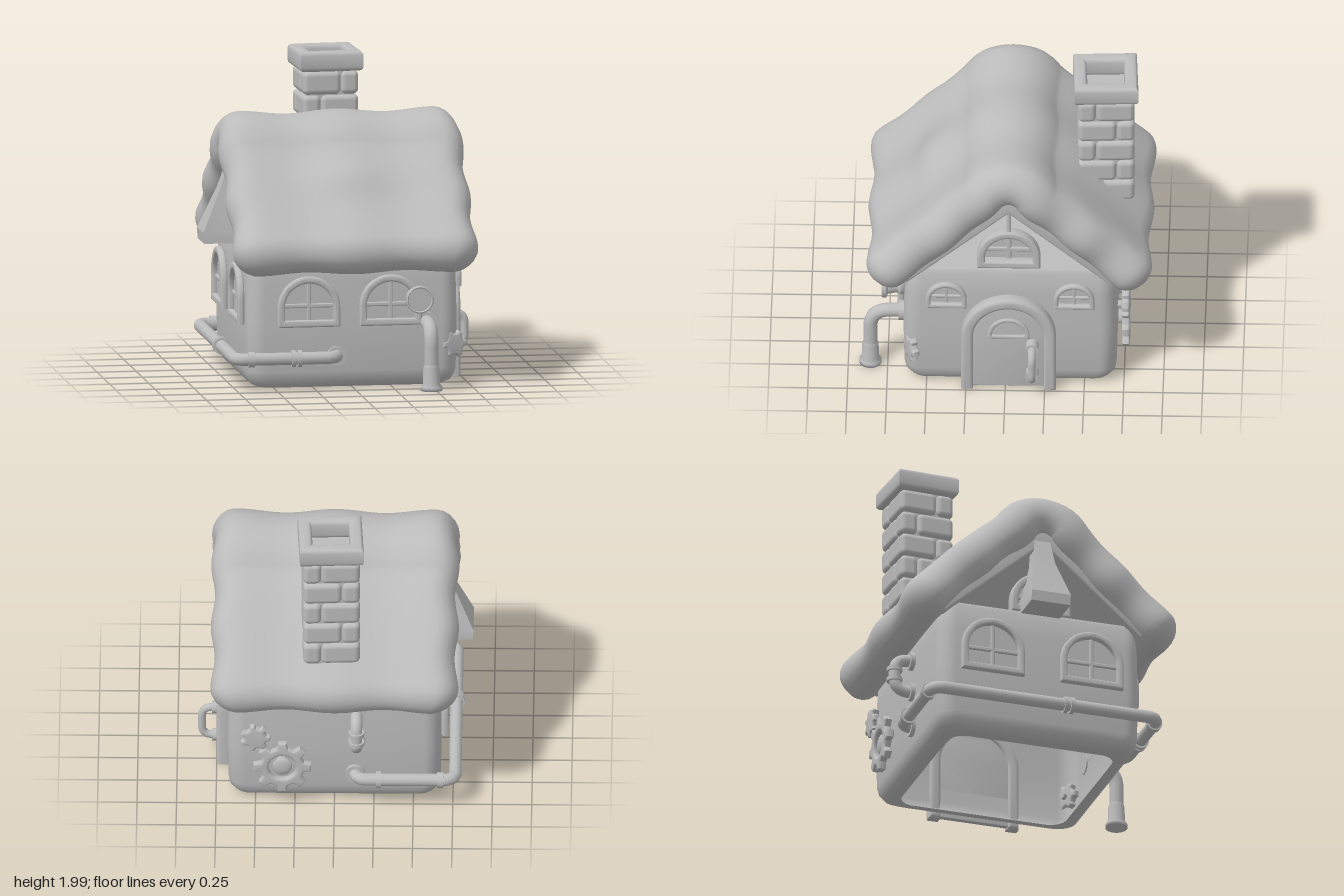
import * as THREE from 'three';
import { mergeVertices, toCreasedNormals } from 'three/addons/utils/BufferGeometryUtils.js';
import { RoundedBoxGeometry } from 'three/addons/geometries/RoundedBoxGeometry.js';

const clay = new THREE.MeshStandardMaterial({ color: 0xbcbcbc, side: THREE.DoubleSide });
clay.name = 'clay grey';
const V = (x, y, z) => new THREE.Vector3(x, y, z);

function add(parent, name, geo, x = 0, y = 0, z = 0) {
  const m = new THREE.Mesh(geo, clay);
  m.name = name;
  m.position.set(x, y, z);
  parent.add(m);
  return m;
}
const box = (w, h, d, r = 0.012) => new RoundedBoxGeometry(w, h, d, 3, r);

// Skin over closed rings of equal point count
function loft(rows) {
  const n = rows[0].length, pos = [], idx = [];
  rows.forEach(r => r.forEach(p => pos.push(p.x, p.y, p.z)));
  for (let i = 0; i < rows.length - 1; i++) for (let j = 0; j < n; j++) {
    const a = i * n + j, b = i * n + (j + 1) % n;
    idx.push(a, a + n, b, b, a + n, b + n);
  }
  const g = new THREE.BufferGeometry();
  g.setAttribute('position', new THREE.Float32BufferAttribute(pos, 3));
  g.setIndex(idx);
  g.computeVertexNormals();
  return g;
}

// Extrusion with a rounded rim, from z = 0 to z = depth
function extrude(shape, depth, bevel = 0.015) {
  const g = new THREE.ExtrudeGeometry(shape, { depth: depth - 2 * bevel, bevelSize: bevel, bevelThickness: bevel,
    bevelOffset: -bevel, bevelSegments: 3, curveSegments: 20, bevelEnabled: bevel > 0 });
  return toCreasedNormals(g.translate(0, 0, bevel), 0.7);
}

// Arch outline standing on y = y0, with a round top
function arch(w, h, y0 = 0, Type = THREE.Shape) {
  const s = new Type(), r = w / 2;
  s.moveTo(-r, y0);
  s.lineTo(r, y0);
  s.lineTo(r, h - r);
  s.absarc(0, h - r, r, 0, Math.PI, false);
  s.closePath();
  return s;
}

// Open arch band with two legs
function archBand(w, h, y0, t) {
  const s = new THREE.Shape(), r = w / 2;
  s.moveTo(r - t, y0);
  s.lineTo(r, y0);
  s.lineTo(r, h - r);
  s.absarc(0, h - r, r, 0, Math.PI, false);
  s.lineTo(-r, y0);
  s.lineTo(t - r, y0);
  s.lineTo(t - r, h - r);
  s.absarc(0, h - r, r - t, Math.PI, 0, true);
  s.closePath();
  return s;
}

function archWindow(parent, name, x, y, z, w, h, t = 0.045, depth = 0.045) {
  const g = new THREE.Group();
  g.name = name;
  g.position.set(x, y, z);
  const frame = arch(w, h);
  frame.holes.push(arch(w - 2 * t, h - t, t, THREE.Path));
  add(g, 'windowFrame', extrude(frame, depth, 0.014));
  add(g, 'windowPane', extrude(arch(w - t, h - t / 2, t / 2), 0.006, 0), 0, 0, 0.003);
  add(g, 'verticalBar', box(t * 0.6, h - t, 0.02, 0.008), 0, h / 2, 0.013);
  add(g, 'crossBar', box(w - t, t * 0.6, 0.02, 0.008), 0, h * 0.42, 0.013);
  parent.add(g);
}

// Pipe through corner points with rounded elbows
function pipe(parent, name, pts, r, bend = 0.1) {
  const path = new THREE.CurvePath();
  let last = pts[0];
  for (let i = 1; i < pts.length - 1; i++) {
    const a = pts[i].clone().add(pts[i - 1].clone().sub(pts[i]).setLength(bend));
    const b = pts[i].clone().add(pts[i + 1].clone().sub(pts[i]).setLength(bend));
    path.add(new THREE.LineCurve3(last, a));
    path.add(new THREE.QuadraticBezierCurve3(a, pts[i], b));
    last = b;
  }
  path.add(new THREE.LineCurve3(last, pts[pts.length - 1]));
  add(parent, name, new THREE.TubeGeometry(path, 90, r, 14));
}
function collar(parent, p, dir, r, len = 0.03) {
  const m = add(parent, 'pipeCollar', new THREE.CylinderGeometry(r, r, len, 20), p.x, p.y, p.z);
  m.quaternion.setFromUnitVectors(V(0, 1, 0), dir);
}

function gear(parent, name, x, y, z, r, teeth, hole) {
  const pts = [];
  for (let i = 0; i < teeth; i++) [[-0.32, 0.76], [-0.18, 1], [0.18, 1], [0.32, 0.76]].forEach(([o, k]) => {
    const a = (i + o) / teeth * Math.PI * 2;
    pts.push(new THREE.Vector2(Math.cos(a) * r * k, Math.sin(a) * r * k));
  });
  const s = new THREE.Shape(pts);
  if (hole) s.holes.push(new THREE.Path().absarc(0, 0, r * 0.48, 0, Math.PI * 2, true));
  const g = new THREE.Group();
  g.name = name;
  g.position.set(x, y, z);
  add(g, 'gearWheel', extrude(s, 0.05, 0.013), 0, 0, 0.025);
  const hub = add(g, 'gearHub', new THREE.SphereGeometry(r * 0.34, 20, 12), 0, 0, 0.05);
  hub.scale.z = 0.09 / (r + 0.1);
  add(g, 'gearAxle', new THREE.CylinderGeometry(r * 0.25, r * 0.25, 0.06, 16).rotateX(Math.PI / 2), 0, 0, 0.03);
  parent.add(g);
  return g;
}

function roofGeometry() {
  const path = new THREE.CatmullRomCurve3([[0.9, 0.73], [1.12, 0.488], [1.31, 0.29], [1.415, 0.18], [1.51, 0.095], [1.545, -0.02],
    [1.51, -0.135], [1.415, -0.22], [1.31, -0.35], [1.13, -0.545], [0.9, -0.775]].map(([y, z]) => V(0, y, z)));
  const T = 0.138, stations = [], caps = [1, 0.97, 0.88, 0.72, 0.5, 0.25];
  caps.forEach(e => stations.push([0, -e]));
  for (let i = 0; i <= 64; i++) stations.push([i / 64, 0]);
  caps.slice().reverse().forEach(e => stations.push([1, e]));
  return loft(stations.map(([t, e]) => {
    const c = path.getPointAt(t), d = path.getTangentAt(t), n = V(0, -d.z, d.y);
    const k = Math.sqrt(1 - e * e), end = Math.sign(t - 0.5) * Math.pow(Math.abs(2 * t - 1), 6);
    const core = 0.635 + 0.013 * Math.cos(t * Math.PI * 10) - 0.06 * (1 - k), ring = [];
    const put = (x, h) => {
      const wave = h > 0 ? 0.012 * Math.cos(x * 10) + 0.035 * Math.exp(-x * x * 14 - Math.pow((t - 0.24) * 14, 2)) : 0;
      const p = c.clone().addScaledVector(d, e * T + end * 0.012 * Math.cos(x * 10)).addScaledVector(n, h * T * k + wave * k);
      ring.push(p.setX(x));
    };
    for (let j = 0; j < 28; j++) put(core * (j / 14 - 1), 1);
    for (let j = 0; j < 10; j++) put(core + T * k * Math.sin(j * Math.PI / 10), Math.cos(j * Math.PI / 10));
    for (let j = 0; j < 28; j++) put(core * (1 - j / 14), -1);
    for (let j = 0; j < 10; j++) put(-core - T * k * Math.sin(j * Math.PI / 10), -Math.cos(j * Math.PI / 10));
    return ring;
  }));
}

// Rounded square ring for the walls
function wallRing(half, y) {
  const ring = [], r = Math.min(0.11, half), c = half - r;
  [[1, 1], [-1, 1], [-1, -1], [1, -1]].forEach(([sx, sz], q) => {
    for (let i = 0; i <= 8; i++) {
      const a = (q + i / 8) * Math.PI / 2;
      ring.push(V(sx * c + r * Math.cos(a), y, -0.03 + sz * c + r * Math.sin(a)));
    }
  });
  return ring;
}

export function createModel() {
  const house = new THREE.Group();
  house.name = 'house';

  // Hollow walls, open underneath
  const walls = [[0.55, 0.01], [0.6, 0.012], [0.64, 0.035], [0.663, 0.075], [0.672, 0.12], [0.678, 0.4], [0.672, 0.7], [0.662, 0.86], [0.65, 0.885], [0.01, 0.885]];
  add(house, 'walls', toCreasedNormals(mergeVertices(loft(walls.map(([h, y]) => wallRing(h, y)))), 0.8));

  // Puffy roof with a chevron of boards underneath
  add(house, 'roof', roofGeometry());
  const chevron = new THREE.Shape([[0.63, 0.8], [0.71, 0.88], [-0.02, 1.5], [-0.75, 0.88], [-0.67, 0.8], [-0.02, 1.355]]
    .map(([z, y]) => new THREE.Vector2(-z, y)));
  add(house, 'roofBoards', extrude(chevron, 1.4, 0.015).rotateY(Math.PI / 2), -0.7, 0, 0);

  // Wall groups: local x runs along the wall, local z points outward
  const side = (name, angle) => {
    const g = new THREE.Group();
    g.name = name;
    g.position.z = -0.03;
    g.rotation.y = angle;
    house.add(g);
    return g;
  };
  const front = side('frontWall', 0), left = side('doorWall', Math.PI / 2);
  const back = side('backWall', Math.PI), right = side('windowWall', -Math.PI / 2);

  // Windows
  archWindow(front, 'frontWindow', -0.29, 0.41, 0.676, 0.4, 0.325);
  archWindow(front, 'frontWindow', 0.235, 0.41, 0.676, 0.4, 0.325);
  for (const s of [-1, 1]) {
    archWindow(right, 'sideWindow', s * 0.33, 0.41, 0.676, 0.42, 0.37);
    archWindow(left, 'smallWindow', s * 0.405, 0.62, 0.672, 0.26, 0.19, 0.032);
  }
  archWindow(left, 'gableWindow', -0.01, 0.89, 0.58, 0.4, 0.28, 0.05, 0.07);
  archWindow(right, 'gableWindow', 0.01, 0.89, 0.58, 0.4, 0.28, 0.05, 0.07);
  add(left, 'gablePost', box(0.03, 0.28, 0.05), -0.01, 1.25, 0.61);

  // Tapered hood on the far gable
  const hoodRow = (y, x0, x1, w) => [V(x0, y, -0.03 - w), V(x0, y, -0.03 + w), V(x1, y, -0.03 + w), V(x1, y, -0.03 - w)];
  const hood = loft([hoodRow(0.87, -0.75, -0.75, 0), hoodRow(0.87, -0.87, -0.62, 0.13), hoodRow(0.94, -0.875, -0.62, 0.13),
    hoodRow(1.2, -0.76, -0.62, 0.065), hoodRow(1.4, -0.69, -0.62, 0.05)]);
  add(house, 'gableHood', toCreasedNormals(hood, 0.4));

  // Door with frame, half-round light and handle
  add(left, 'doorFrame', extrude(archBand(0.6, 0.71, 0.01, 0.075), 0.09, 0.022), -0.01, 0, 0.66);
  add(left, 'door', extrude(arch(0.47, 0.645, 0.02), 0.036, 0.005), -0.01, 0, 0.674);
  const light = arch(0.27, 0.15, 0);
  light.holes.push(arch(0.21, 0.125, 0.022, THREE.Path));
  add(left, 'doorLight', extrude(light, 0.025, 0.008), -0.01, 0.4, 0.705);
  pipe(left, 'doorHandle', [V(0.14, 0.14, 0.7), V(0.14, 0.14, 0.845), V(0.14, 0.35, 0.845), V(0.14, 0.35, 0.7)], 0.025, 0.07);
  for (const y of [0.14, 0.35]) collar(left, V(0.14, y, 0.745), V(0, 0, 1), 0.04, 0.07);

  // Pipe wrapping round three walls
  pipe(house, 'longPipe', [V(-0.11, 0.22, 0.64), V(-0.11, 0.22, 0.725), V(-0.765, 0.22, 0.725), V(-0.765, 0.22, -0.785),
    V(-0.13, 0.22, -0.785), V(-0.13, 0.22, -0.7)], 0.04, 0.08);
  for (const x of [-0.4, -0.36]) collar(house, V(x, 0.22, 0.725), V(1, 0, 0), 0.054, 0.025);
  for (const z of [0.1, 0.14]) collar(house, V(-0.765, 0.22, z), V(0, 0, 1), 0.054, 0.025);
  for (const z of [0.725, -0.785]) collar(house, V(-0.67, 0.22, z), V(1, 0, 0), 0.05, 0.04);
  collar(house, V(-0.28, 0.22, -0.785), V(1, 0, 0), 0.054, 0.03);
  collar(house, V(-0.11, 0.22, 0.655), V(0, 0, 1), 0.062);
  collar(house, V(-0.13, 0.22, -0.715), V(0, 0, 1), 0.062);

  // Downpipe at the front
  pipe(house, 'downPipe', [V(0.465, 0.425, 0.64), V(0.465, 0.425, 0.86), V(0.465, 0.1, 0.86)], 0.045, 0.13);
  collar(house, V(0.465, 0.425, 0.66), V(0, 0, 1), 0.065, 0.04);
  const foot = [[0, 0.015], [0.07, 0.015], [0.07, 0.04], [0.055, 0.055], [0.052, 0.16], [0.045, 0.18]];
  add(house, 'downPipeFoot', new THREE.LatheGeometry(foot.map(p => new THREE.Vector2(...p)), 24), 0.465, 0, 0.86);

  // Horn by the window
  const horn = [[0.06, 0], [0.07, 0.02], [0.055, 0.04], [0.065, 0.1], [0.088, 0.11], [0.088, 0.135], [0.08, 0.14], [0.074, 0.132], [0, 0.132]];
  add(house, 'horn', toCreasedNormals(new THREE.LatheGeometry(horn.map(p => new THREE.Vector2(...p)), 28), 0.7)
    .rotateX(Math.PI / 2), 0.405, 0.585, 0.65);

  // Gears on the back, valve wheel on the front corner
  gear(back, 'largeGear', -0.33, 0.3, 0.678, 0.185, 8, true);
  gear(back, 'smallGear', -0.5, 0.52, 0.678, 0.095, 7, false);
  const valve = gear(house, 'valveWheel', 0.63, 0.27, 0.55, 0.09, 6, false);
  valve.rotation.y = 0.4;

  // Looped pipe on the back
  pipe(back, 'loopPipe', [V(0.14, 0.46, 0.66), V(0.14, 0.46, 0.8), V(0.14, 0.675, 0.8), V(0.14, 0.675, 0.66)], 0.038, 0.09);
  for (const y of [0.46, 0.675]) collar(back, V(0.14, y, 0.69), V(0, 0, 1), 0.058);
  for (const y of [0.53, 0.6]) collar(back, V(0.14, y, 0.8), V(0, 1, 0), 0.05, 0.025);

  // Brick chimney: four blocks to a course with alternating joints, under a hollow cap
  const chimney = new THREE.Group();
  chimney.name = 'chimney';
  chimney.position.set(0.025, 0, -0.62);
  chimney.rotation.y = 0.05;
  house.add(chimney);
  add(chimney, 'core', new THREE.BoxGeometry(0.31, 0.77, 0.31), 0, 1.485, 0);
  for (let c = 0; c < 5; c++) {
    const cut = c % 2 ? -0.065 : 0.065;
    const spans = [[-0.18, cut], [cut, 0.18]];
    for (const [x0, x1] of spans) for (const [z0, z1] of spans)
      add(chimney, 'brick', box(x1 - x0, 0.15, z1 - z0, 0.034), (x0 + x1) / 2, 1.795 - c * 0.153, (z0 + z1) / 2);
  }
  const square = (h, Type) => new Type([[-h, -h], [h, -h], [h, h], [-h, h]].map(p => new THREE.Vector2(...p)));
  const cap = square(0.203, THREE.Shape);
  cap.holes.push(square(0.118, THREE.Path));
  add(chimney, 'chimneyCap', extrude(cap, 0.13, 0.028).rotateX(-Math.PI / 2), 0, 1.87, 0);

  return house;
}
